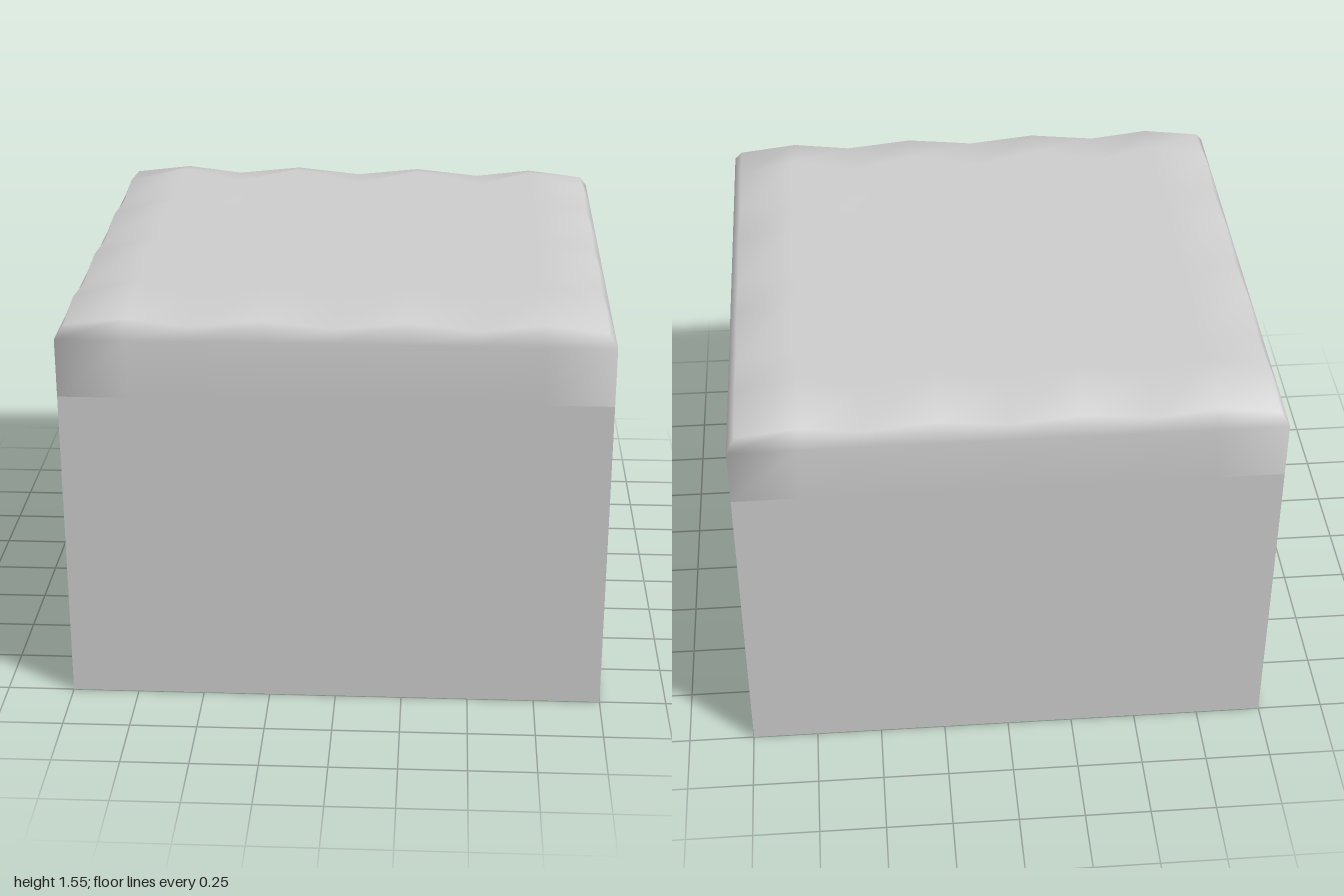
import * as THREE from 'three';
import { mergeVertices } from 'three/addons/utils/BufferGeometryUtils.js';

const BLOCK_TOP = 1.21;
const RIM = 1.43;
const SEGMENTS = 8;

// distance from the middle of each grid line on the top surface
const STATIONS = [0, 0.26, 0.52, 0.745, 0.97];
// height for zero, one or two crests meeting at a grid point
const HEIGHTS = [1.475, 1.502, 1.555];

function createWavyTop() {
  const box = new THREE.BoxGeometry(2, 2, 2, SEGMENTS, 2, SEGMENTS);
  box.deleteAttribute('normal');
  box.deleteAttribute('uv');

  // leave out the underside so the skirt meets the block cleanly
  const under = box.groups[3];
  const index = Array.from(box.index.array);
  index.splice(under.start, under.count);
  box.setIndex(index);
  box.clearGroups();

  const pos = box.attributes.position;
  for (let i = 0; i < pos.count; i++) {
    const x = pos.getX(i), y = pos.getY(i), z = pos.getZ(i);
    if (y > 0.5) {
      // alternate valleys and crests in both directions, with an inset edge
      const ix = Math.round(Math.abs(x) * 4), iz = Math.round(Math.abs(z) * 4);
      pos.setXYZ(i, Math.sign(x) * STATIONS[ix], HEIGHTS[(ix % 2) + (iz % 2)], Math.sign(z) * STATIONS[iz]);
    } else {
      pos.setY(i, y < -0.5 ? BLOCK_TOP : RIM);
    }
  }

  // shared vertices give the rounded shading
  const geometry = mergeVertices(box);
  geometry.computeVertexNormals();
  return geometry;
}

export function createModel() {
  const group = new THREE.Group();
  group.name = 'wavyTopBlock';
  const grey = new THREE.MeshStandardMaterial({ color: 0xcccccc });
  grey.name = 'light grey';

  // plain lower block
  const block = new THREE.Mesh(new THREE.BoxGeometry(2, BLOCK_TOP, 2), grey);
  block.name = 'block';
  block.position.y = BLOCK_TOP / 2;

  // soft layer with a rippled surface
  const top = new THREE.Mesh(createWavyTop(), grey);
  top.name = 'wavyTop';

  group.add(block, top);
  return group;
}
